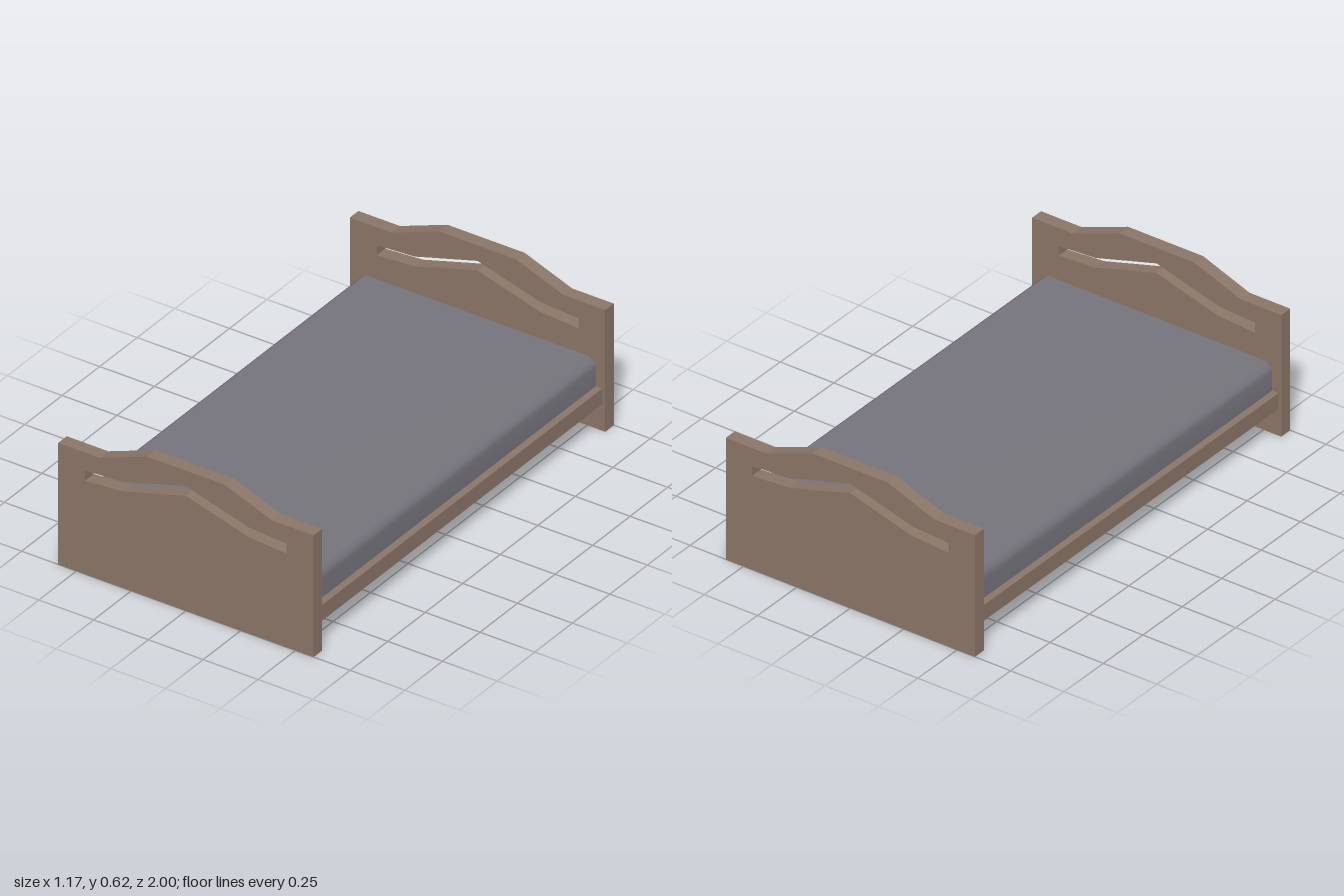
import * as THREE from 'three';

const wood = new THREE.MeshStandardMaterial({ name: 'brown wood', color: 0x8b7568 });
const cloth = new THREE.MeshStandardMaterial({ name: 'grey fabric', color: 0x75737b });

const THICK = 0.057; // end board thickness
const INNER = 1 - THICK; // z where the boards begin

// Closed outline from the points of its right half, mirrored to the left
function mirrored(half) {
  const left = half.filter(([x]) => x > 0).reverse().map(([x, y]) => [-x, y]);
  return [...half, ...left].map(([x, y]) => new THREE.Vector2(x, y));
}

// End board with a stepped crest and a bent slot
function endBoard(name, z) {
  const shape = new THREE.Shape(
    mirrored([[0.583, 0], [0.583, 0.54], [0.393, 0.54], [0.176, 0.622]]));
  shape.holes.push(new THREE.Path(
    mirrored([[0, 0.51], [0.287, 0.428], [0.46, 0.416], [0.46, 0.46], [0.287, 0.471], [0, 0.553]])
      // the upper middle point belongs between the two sides
      .sort((a, b) => Math.atan2(a.y - mid(a.x), a.x) - Math.atan2(b.y - mid(b.x), b.x))));
  const geo = new THREE.ExtrudeGeometry(shape, { depth: THICK, bevelEnabled: false });
  const mesh = new THREE.Mesh(geo, wood);
  mesh.name = name;
  mesh.position.z = z;
  return mesh;
}

// Height of the slot's centre line
function mid(x) {
  const a = Math.abs(x);
  return a < 0.287 ? 0.5315 - (a / 0.287) * 0.082 : 0.4495 - ((a - 0.287) / 0.173) * 0.0115;
}

// Mattress with softened upper edges, smoothly shaded across its width
function mattress() {
  const profile = mirrored([[0.54, 0.18], [0.54, 0.27], [0.532, 0.293], [0.51, 0.31]]).reverse();
  const pos = [], idx = [];
  profile.forEach((p) => pos.push(p.x, p.y, -INNER, p.x, p.y, INNER));
  for (let i = 0; i < profile.length - 1; i++) {
    const a = i * 2;
    idx.push(a, a + 2, a + 1, a + 1, a + 2, a + 3);
  }
  const geo = new THREE.BufferGeometry();
  geo.setAttribute('position', new THREE.Float32BufferAttribute(pos, 3));
  geo.setIndex(idx);
  geo.computeVertexNormals();
  // turn the faces outward if the outline runs the other way
  if (geo.attributes.normal.getX(0) * pos[0] < 0) {
    geo.setIndex(idx.reverse());
    geo.computeVertexNormals();
  }
  const mesh = new THREE.Mesh(geo, cloth);
  mesh.name = 'mattress';
  return mesh;
}

export function createModel() {
  const bed = new THREE.Group();
  bed.name = 'bed';

  // Solid base whose edges show as side rails
  const base = new THREE.Mesh(new THREE.BoxGeometry(1.14, 0.07, INNER * 2), wood);
  base.name = 'bedBase';
  base.position.y = 0.153;

  bed.add(base, mattress(), endBoard('footboard', INNER), endBoard('headboard', -1));
  return bed;
}
